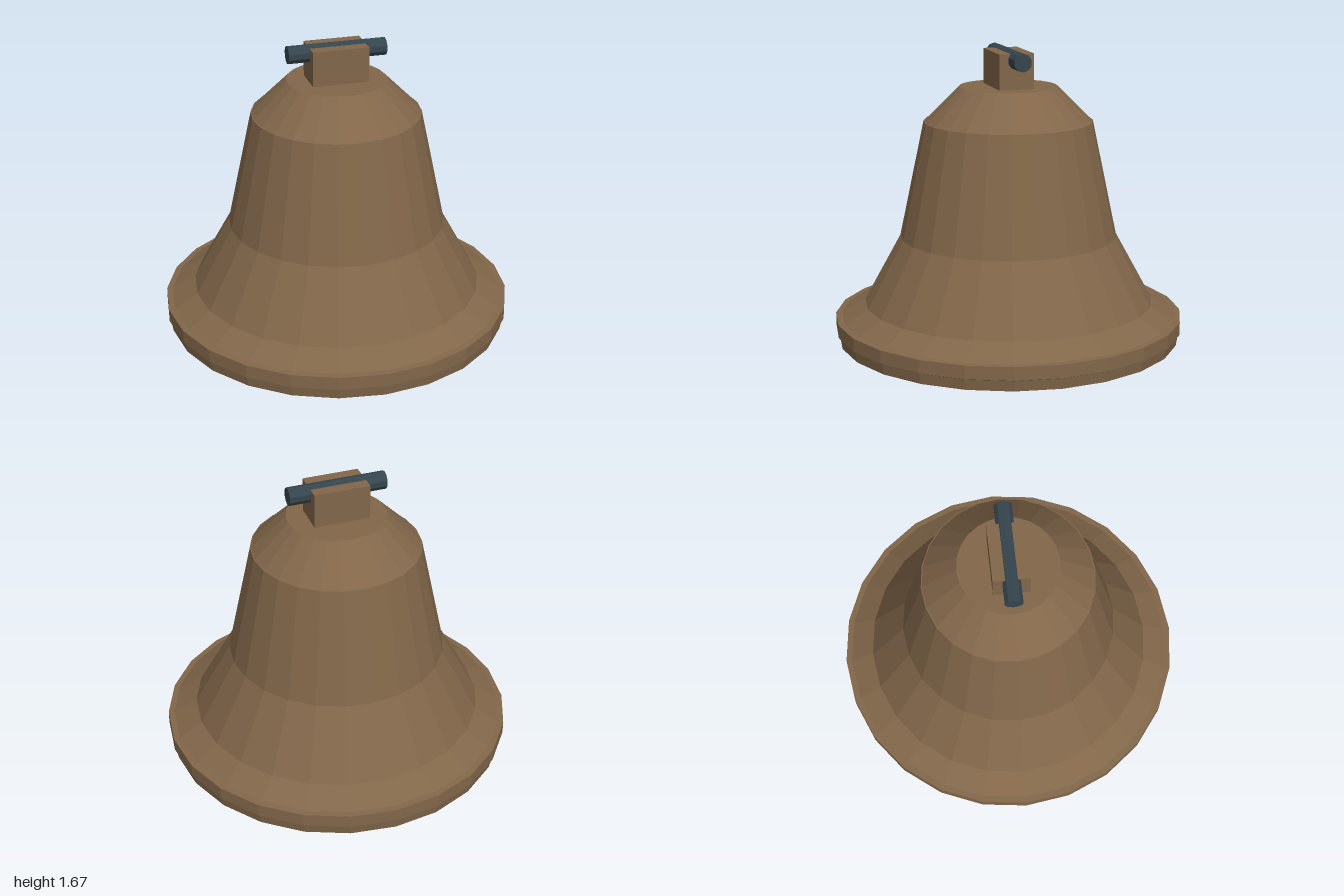
import * as THREE from 'three';

const SIDES = 24;

export function createModel() {
  const model = new THREE.Group();
  model.name = 'bell';

  const bronze = new THREE.MeshStandardMaterial({ color: 0x82674a, flatShading: true });
  bronze.name = 'bronze';
  const iron = new THREE.MeshStandardMaterial({ color: 0x35454d, flatShading: true });
  iron.name = 'dark iron';

  const add = (name, geometry, material, parent = model) => {
    const mesh = new THREE.Mesh(geometry, material);
    mesh.name = name;
    parent.add(mesh);
    return mesh;
  };
  const lathe = (points, sides) =>
    new THREE.LatheGeometry(points.map(([r, y]) => new THREE.Vector2(r, y)), sides);

  // Hollow shell: down the inner wall, across the mouth, up the outer wall to a narrow lip
  add('bellBody', lathe([
    [0.42, 1.265], [0.56, 0.56], [0.77, 0.145], [0.88, 0],
    [0.98, 0], [0.99, 0.06], [1, 0.065], [1, 0.14], [0.965, 0.143],
    [0.83, 0.22], [0.62, 0.603], [0.48, 1.265], [0.42, 1.275],
  ], SIDES), bronze);

  // Sloping shoulder, its underside closing the shell
  add('shoulder', new THREE.CylinderGeometry(0.28, 0.475, 0.195, SIDES), bronze).position.y = 1.3625;

  // Hanging block and its cross pin
  add('crownBlock', new THREE.BoxGeometry(0.32, 0.21, 0.2), bronze).position.y = 1.555;
  const pinShape = new THREE.CylinderGeometry(0.051, 0.051, 0.56, 10).rotateY(Math.PI / 2);
  const pin = add('crossPin', pinShape, iron);
  pin.rotation.z = Math.PI / 2;
  pin.position.y = 1.623;

  // Clapper hanging inside
  const clapper = new THREE.Group();
  clapper.name = 'clapper';
  model.add(clapper);
  add('clapperRod', new THREE.CylinderGeometry(0.055, 0.055, 0.98, 10), iron, clapper).position.y = 0.77;
  add('clapperWeight', lathe([[0, 0.035], [0.16, 0.12], [0.13, 0.3], [0, 0.3]], 12), iron, clapper);

  return model;
}
